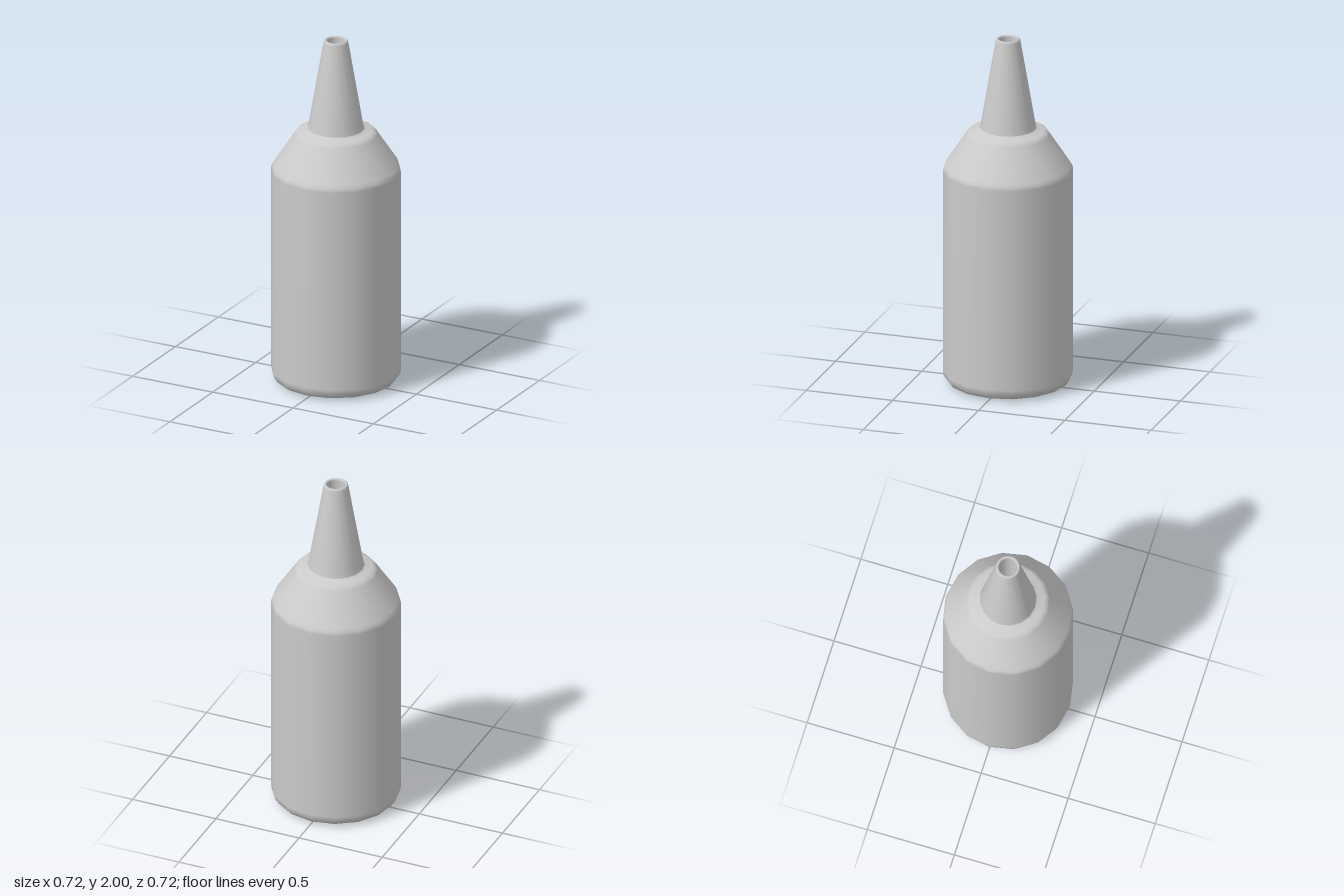
import * as THREE from 'three';

const SIDES = 16;

// Revolve a profile of [radius, height] pairs, listed from bottom to top
function revolve(name, profile) {
  const points = profile.map(([r, y]) => new THREE.Vector2(r, y));
  const mesh = new THREE.Mesh(
    new THREE.LatheGeometry(points, SIDES),
    new THREE.MeshStandardMaterial({ color: 0xcccccc, side: THREE.DoubleSide })
  );
  mesh.name = name;
  return mesh;
}

export function createModel() {
  const group = new THREE.Group();
  group.name = 'squeezeBottle';

  // Body: flat base with a rounded edge, straight wall, sloping shoulder
  group.add(revolve('bottleBody', [
    [0, 0], [0.28, 0], [0.3, 0.002], [0.335, 0.015], [0.354, 0.042], [0.358, 0.07],
    [0.358, 1.235], [0.355, 1.252], [0.345, 1.27],
    [0.23, 1.445], [0.218, 1.46], [0.2, 1.467], [0.165, 1.475], [0.156, 1.483],
  ]));

  // Nozzle: tapered spout, narrow rim and the bore inside it
  group.add(revolve('nozzle', [
    [0.156, 1.483], [0.15, 1.51], [0.069, 1.985], [0.066, 1.997], [0.061, 2],
    [0.053, 2], [0.05, 1.99], [0.05, 1.5], [0.049, 1.49], [0, 1.49],
  ]));

  return group;
}
